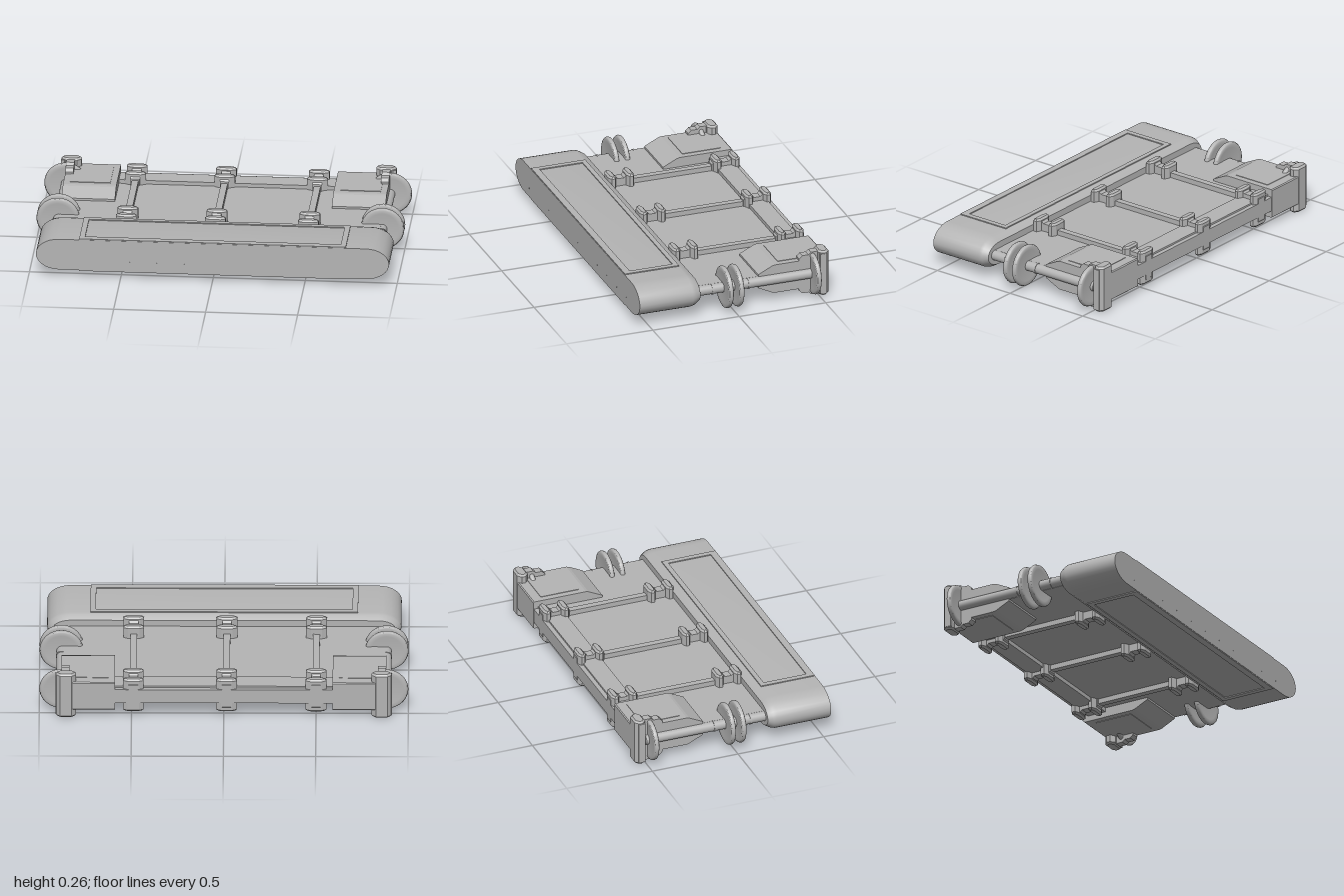
import * as THREE from 'three';
import { toCreasedNormals } from 'three/addons/utils/BufferGeometryUtils.js';
import { ConvexGeometry } from 'three/addons/geometries/ConvexGeometry.js';

const MID = 0.137; // height of the horizontal symmetry plane

export function createModel() {
  const group = new THREE.Group();
  const grey = new THREE.MeshStandardMaterial({ color: 0xb4b4b4 });
  grey.name = 'plain grey';

  const add = (name, geometry, x = 0, y = 0, z = 0) => {
    const mesh = new THREE.Mesh(geometry, grey);
    mesh.name = name;
    mesh.position.set(x, y, z);
    group.add(mesh);
    return mesh;
  };
  const box = (name, x0, x1, y0, y1, z0, z1) =>
    add(name, new THREE.BoxGeometry(x1 - x0, y1 - y0, z1 - z0), (x0 + x1) / 2, (y0 + y1) / 2, (z0 + z1) / 2);
  const poly = (pts) => new THREE.Shape(pts.map(([a, b]) => new THREE.Vector2(a, b)));

  // Side profile in (z, height above the middle), mirrored below, extruded across x
  const sideSlab = (upper, width) => {
    const pts = [...upper, ...upper.slice().reverse().map(([z, h]) => [z, -h])];
    const g = new THREE.ExtrudeGeometry(poly(pts), { depth: width, bevelEnabled: false });
    return g.translate(0, 0, -width / 2).rotateY(-Math.PI / 2);
  };
  // Hexagonal lug in plan with chamfered top and bottom, centred on its own middle
  const lugGeometry = (hx, hz, height) => {
    const b = 0.01;
    const x = hx - b, z = hz - b;
    const shape = poly([[-x, -z * 0.3], [-x * 0.62, -z], [x * 0.62, -z], [x, -z * 0.3],
      [x, z * 0.3], [x * 0.62, z], [-x * 0.62, z], [-x, z * 0.3]]);
    const g = new THREE.ExtrudeGeometry(shape, {
      depth: height - 2 * b, bevelEnabled: true, bevelSize: b, bevelThickness: b, bevelSegments: 1,
    });
    return g.translate(0, 0, -(height - 2 * b) / 2).rotateX(-Math.PI / 2);
  };

  // Front beam: long body with rounded ends and a chamfered rear edge
  const beamPts = [];
  for (const [z, inset] of [[0.56, 0], [0.25, 0], [0.23, 0.005], [0.2, 0.024]]) {
    for (const s of [-1, 1]) {
      for (let i = 0; i <= 16; i++) {
        const a = -Math.PI / 2 + (i / 16) * Math.PI;
        beamPts.push(new THREE.Vector3(
          s * (0.835 + (0.125 - inset) * Math.cos(a)), MID + (0.088 - inset) * Math.sin(a), z));
      }
    }
  }
  add('frontBeam', toCreasedNormals(new ConvexGeometry(beamPts), 0.45));
  // Raised plates on the top and underside of the beam, with an inner border
  for (const s of [-1, 1]) {
    const plate = (x0, x1, z0, z1) => box('beamPlate', x0, x1, MID + s * 0.0905 - 0.003, MID + s * 0.0905 + 0.003, z0, z1);
    plate(-0.725, 0.725, 0.52, 0.558);
    plate(-0.725, 0.725, 0.245, 0.272);
    for (const m of [-1, 1]) plate(m * 0.71 - 0.015, m * 0.71 + 0.015, 0.272, 0.52);
  }
  // Row of small rivets on the front face
  for (let i = -5; i <= 5; i++) {
    add('rivet', new THREE.CylinderGeometry(0.004, 0.004, 0.002, 8).rotateX(Math.PI / 2), i * 0.15, 0.1, 0.56);
  }

  // Deck and rear bar
  box('deck', -0.875, 0.875, 0.108, 0.165, -0.54, 0.21);
  box('rearBar', -0.86, 0.86, 0.085, 0.186, -0.53, -0.42);
  box('rearFascia', -0.86, 0.86, 0.095, 0.176, -0.555, -0.53);

  // Three cross rails with clamps at each end
  for (const x of [-0.5, -0.015, 0.49]) {
    box('crossRail', x - 0.018, x + 0.018, 0.08, 0.193, -0.42, 0.2);
    for (const [z0, z1] of [[-0.555, -0.395], [0.06, 0.205]]) {
      const c = (z0 + z1) / 2, h = (z1 - z0) / 2;
      add('clampStrap', sideSlab([[-h, 0.066], [-h + 0.015, 0.083], [-0.03, 0.083], [-0.018, 0.072],
        [0.018, 0.072], [0.03, 0.083], [h - 0.015, 0.083], [h, 0.066]], 0.05), x, MID, c);
    }
    for (const z of [-0.53, -0.425, 0.08, 0.185]) {
      add('clampLug', lugGeometry(0.056, 0.022, 0.196), x, MID, z);
    }
  }

  // Round disc with a softly rounded rim, axis along z
  const R = 0.118, T = 0.014;
  const discProfile = [[0, -T * 0.8], [R - 0.03, -T * 0.8], [R - 0.012, -T], [R - 0.004, -T * 0.7], [R, 0],
    [R - 0.004, T * 0.7], [R - 0.012, T], [R - 0.03, T * 0.8], [0, T * 0.8]];
  const disc = toCreasedNormals(
    new THREE.LatheGeometry(discProfile.map(([r, y]) => new THREE.Vector2(r, y)), 48).rotateX(Math.PI / 2), 0.9);

  for (const s of [-1, 1]) {
    // Side rod with collars, pointed tip and discs
    add('sideRod', new THREE.CylinderGeometry(0.028, 0.028, 0.7, 24).rotateX(Math.PI / 2), s * 0.88, MID, -0.145);
    add('rodTip', new THREE.ConeGeometry(0.028, 0.02, 24).rotateX(-Math.PI / 2), s * 0.88, MID, -0.505);
    for (const z of [-0.095, 0.01, 0.115]) {
      add('rodCollar', new THREE.CylinderGeometry(0.031, 0.031, 0.01, 24).rotateX(Math.PI / 2), s * 0.88, MID, z);
    }
    for (const z of [-0.468, -0.021, 0.041]) add('disc', disc, s * 0.882, 0.138, z);

    // Rear corner pod with sloped nose
    add('cornerPod', sideSlab([[-0.558, 0.078], [-0.552, 0.083], [-0.25, 0.083], [-0.235, 0.079], [-0.155, 0.04]], 0.29),
      s * 0.735, MID, 0);
    for (const v of [-1, 1]) {
      const y = MID + v * 0.084;
      box('podPanel', s * 0.735 - 0.11, s * 0.735 + 0.11, y - 0.002, y + 0.002, -0.5, -0.28);
    }

    // Corner clamp around the pod and the rod end
    add('cornerStrap', sideSlab([[-0.555, 0.105], [-0.535, 0.125], [-0.46, 0.125], [-0.445, 0.112],
      [-0.41, 0.112], [-0.392, 0.095]], 0.044), s * 0.858, MID, 0);
    add('cornerLug', lugGeometry(0.054, 0.031, 0.264), s * 0.855, MID, -0.528);
    box('cornerBar', s * 0.9 - 0.012, s * 0.9 + 0.012, 0.018, 0.255, -0.542, -0.504);
  }

  return group;
}
